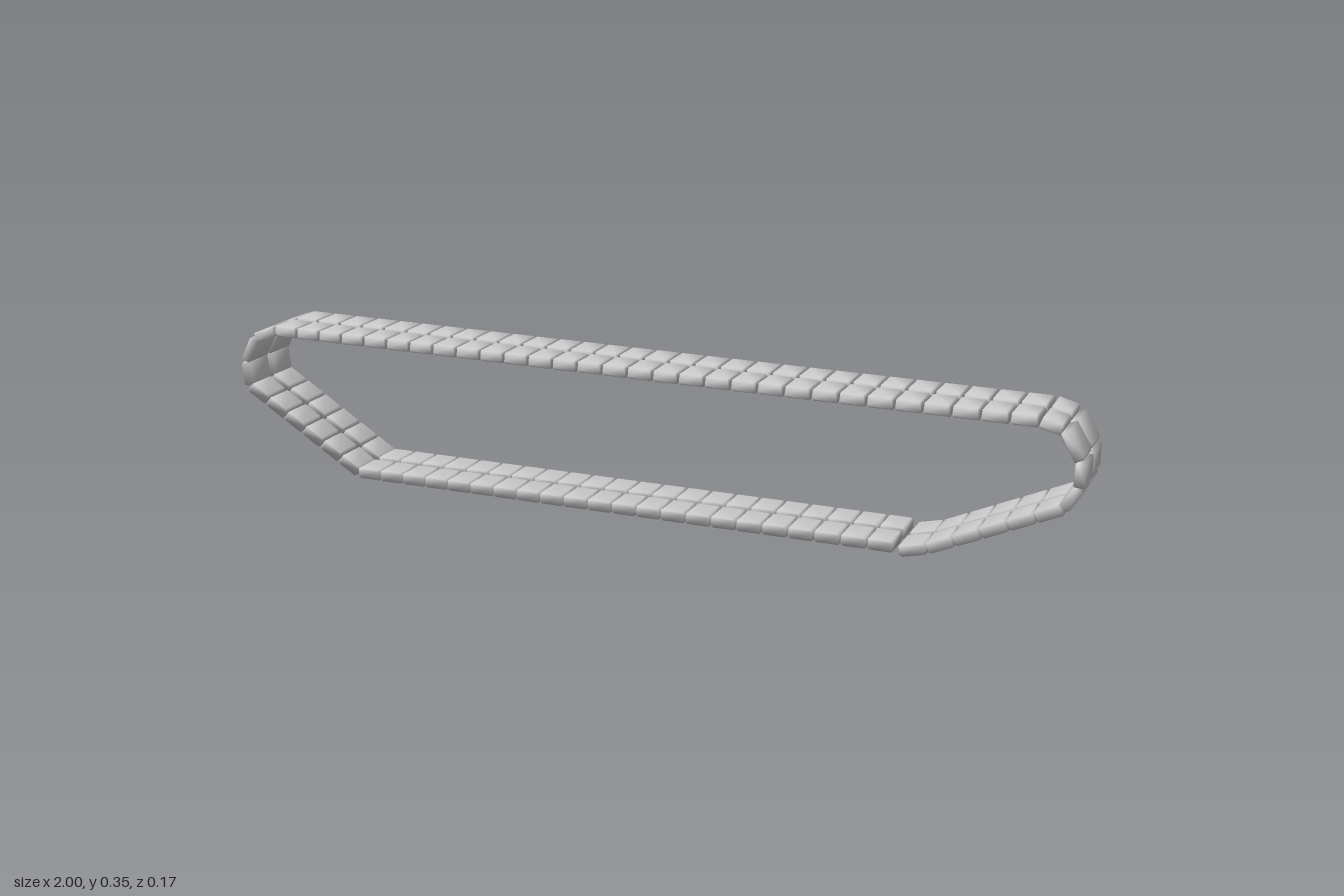
import * as THREE from 'three';
import { mergeVertices } from 'three/addons/utils/BufferGeometryUtils.js';

const PITCH = 0.06, THICK = 0.024, WIDTH = 0.073, PAD_Z = 0.0465;

// Centre line of the belt, clockwise from the upper left corner
const PATH = [
  [-0.9, 0.345], [0.9, 0.331], [0.95, 0.318], [0.987, 0.257], [0.987, 0.2], [0.957, 0.152],
  [0.68, 0.028], [0.62, 0.014], [0.61, 0.022], [-0.69, 0.022], [-0.98, 0.202],
  [-0.987, 0.262], [-0.957, 0.322],
].map(([x, y]) => new THREE.Vector2(x, y));

// One pad: a slab with slightly skewed, bevelled ends and soft normals
function padGeometry(length) {
  const a = length / 2, t = THICK / 2;
  const profile = new THREE.Shape([
    new THREE.Vector2(-a, -t * 0.6), new THREE.Vector2(-a + 0.006, -t),
    new THREE.Vector2(a - 0.002, -t), new THREE.Vector2(a, t * 0.6),
    new THREE.Vector2(a - 0.006, t), new THREE.Vector2(-a + 0.002, t),
  ]);
  let geo = new THREE.ExtrudeGeometry(profile, { depth: WIDTH, bevelEnabled: false });
  geo.translate(0, 0, -WIDTH / 2);
  geo.deleteAttribute('uv');
  geo.deleteAttribute('normal');
  geo = mergeVertices(geo, 1e-5);
  geo.computeVertexNormals();
  return geo;
}

export function createModel() {
  const model = new THREE.Group();
  model.name = 'trackBelt';
  const material = new THREE.MeshStandardMaterial({ color: 0xcccccc });

  // Lay equal links along every stretch of the path
  PATH.forEach((from, i) => {
    const to = PATH[(i + 1) % PATH.length];
    const span = from.distanceTo(to);
    if (span < 0.03) return; // small step, no link
    const count = Math.max(1, Math.round(span / PITCH));
    const geometry = padGeometry(span / count - 0.003);
    const angle = Math.atan2(to.y - from.y, to.x - from.x);
    for (let k = 0; k < count; k++) {
      const p = from.clone().lerp(to, (k + 0.5) / count);
      const link = new THREE.Group();
      link.name = 'trackLink';
      link.position.set(p.x, p.y, 0);
      link.rotation.z = angle;
      // Front and back pads with a narrow gap between
      for (const side of [1, -1]) {
        const pad = new THREE.Mesh(geometry, material);
        pad.name = side > 0 ? 'frontPad' : 'backPad';
        pad.position.z = side * PAD_Z;
        link.add(pad);
      }
      model.add(link);
    }
  });
  return model;
}
